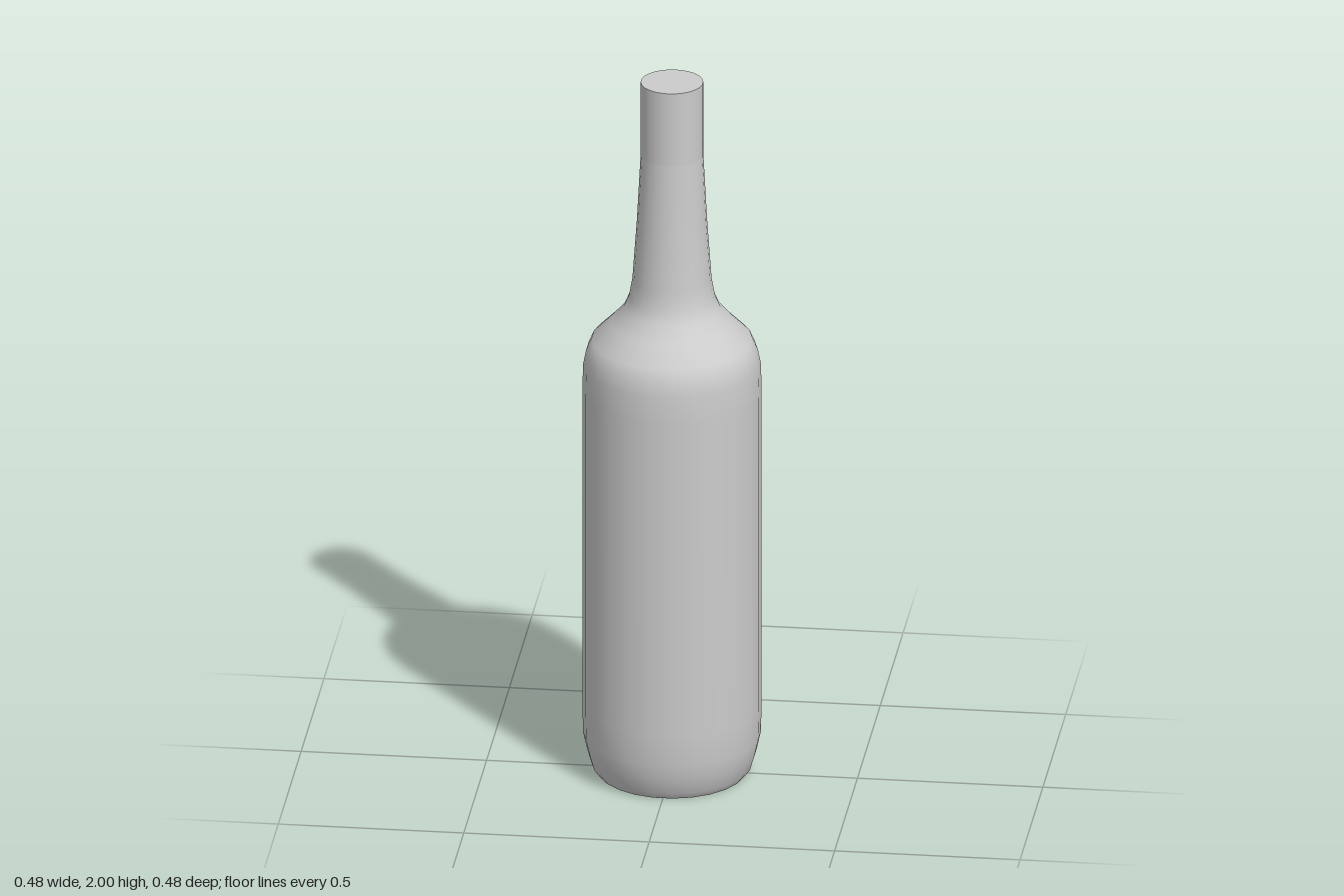
import * as THREE from 'three';

const SIDES = 24;
const HALF_STEP = Math.PI / SIDES;

export function createModel() {
  const bottle = new THREE.Group();
  bottle.name = 'bottle';
  const glass = new THREE.MeshStandardMaterial({ color: 0xcccccc });
  const paper = new THREE.MeshStandardMaterial({ color: 0xcccccc, side: THREE.DoubleSide });

  const add = (name, geometry, material = glass) => {
    const mesh = new THREE.Mesh(geometry, material);
    mesh.name = name;
    bottle.add(mesh);
    return mesh;
  };
  const lathe = (points) => new THREE.LatheGeometry(
    points.map(([r, y]) => new THREE.Vector2(r, y)), SIDES, HALF_STEP);
  const disc = (name, radius, y, tilt) => {
    const mesh = add(name, new THREE.CircleGeometry(radius, SIDES, HALF_STEP));
    mesh.rotation.x = tilt;
    mesh.position.y = y;
  };

  // Body with rounded foot, shoulder and tapering neck
  add('body', lathe([
    [0.2, 0], [0.215, 0.02], [0.227, 0.06], [0.238, 0.11], [0.24, 0.2],
    [0.24, 1.1], [0.238, 1.18], [0.23, 1.22], [0.215, 1.255], [0.165, 1.305],
    [0.13, 1.345], [0.115, 1.38], [0.106, 1.43], [0.094, 1.6], [0.084, 1.79],
  ]));

  // Straight collar and its closed top
  add('collar', lathe([[0.084, 1.79], [0.084, 2]]));
  disc('mouthCap', 0.084, 2, -Math.PI / 2);
  disc('base', 0.2, 0, Math.PI / 2);

  // Thin label wrapped around the back
  const arc = HALF_STEP * 18;
  const label = add('backLabel', new THREE.CylinderGeometry(
    0.242, 0.242, 0.57, 9, 1, true, Math.PI - arc / 2, arc), paper);
  label.position.y = 0.615;

  return bottle;
}
